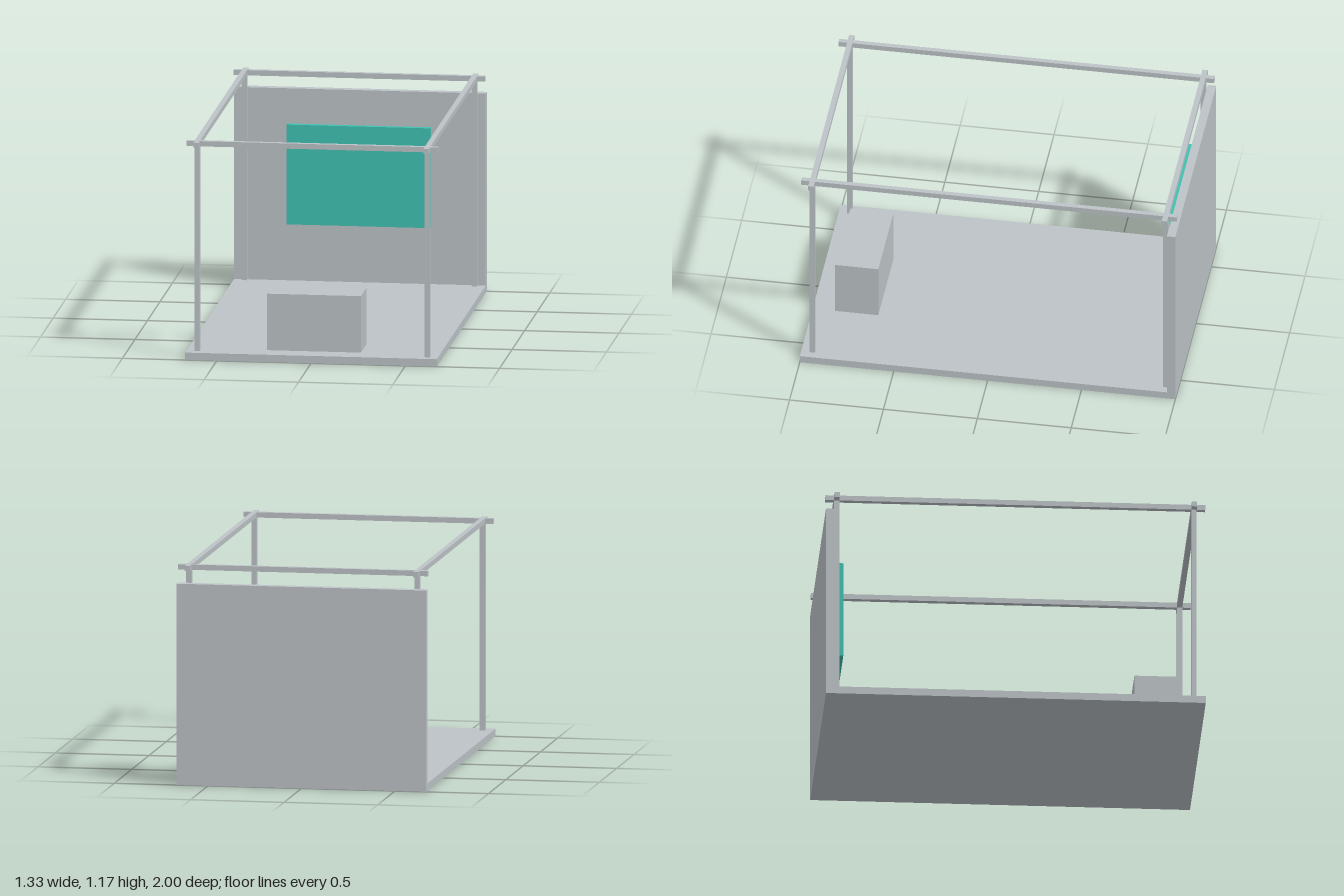
import * as THREE from 'three';

export function createModel() {
  const model = new THREE.Group();
  model.name = 'exhibitionBooth';

  const grey = new THREE.MeshStandardMaterial({ color: 0xbdc3c7 });
  grey.name = 'silver grey';
  const teal = new THREE.MeshStandardMaterial({ color: 0x40c1b2 });
  teal.name = 'teal';

  // Box given by its lower and upper limits on each axis
  const addBox = (name, material, [x0, x1], [y0, y1], [z0, z1]) => {
    const mesh = new THREE.Mesh(new THREE.BoxGeometry(x1 - x0, y1 - y0, z1 - z0), material);
    mesh.position.set((x0 + x1) / 2, (y0 + y1) / 2, (z0 + z1) / 2);
    mesh.name = name;
    model.add(mesh);
  };
  const around = (centre, size) => [centre - size / 2, centre + size / 2];

  const halfWidth = 0.667, floorTop = 0.04, wallFront = -0.955;
  const frameTop = 1.167, bar = 0.028, postX = 0.61, postZ = 0.941;

  // Floor and back wall
  addBox('floor', grey, [-halfWidth, halfWidth], [0, floorTop], [wallFront, 1]);
  addBox('backWall', grey, [-halfWidth, halfWidth], [0, 1.07], [-1, wallFront]);

  // Posts, and top beams that cross and overhang at the corners
  for (const s of [-1, 1]) {
    const side = s > 0 ? 'left' : 'right';
    const end = s > 0 ? 'front' : 'back';
    addBox(side + 'FrontPost', grey, around(s * postX, bar), [floorTop, frameTop], around(postZ, bar));
    addBox(side + 'BackPost', grey, around(s * postX, bar), [floorTop, frameTop], around(-postZ, bar));
    addBox(side + 'Beam', grey, around(s * postX, bar), [frameTop - bar, frameTop], [-1, 1]);
    addBox(end + 'Beam', grey, [-halfWidth, halfWidth], [frameTop - bar, frameTop], around(s * postZ, bar));
  }

  // Display screen with a slightly smaller back plate
  addBox('screen', teal, [-0.382, 0.382], [0.353, 0.888], [-0.922, -0.891]);
  addBox('screenBackPlate', teal, [-0.35, 0.35], [0.38, 0.86], [-0.927, -0.922]);

  // Counter near the front
  addBox('counter', grey, [-0.249, 0.249], [floorTop, 0.343], [0.65, 0.88]);

  return model;
}
